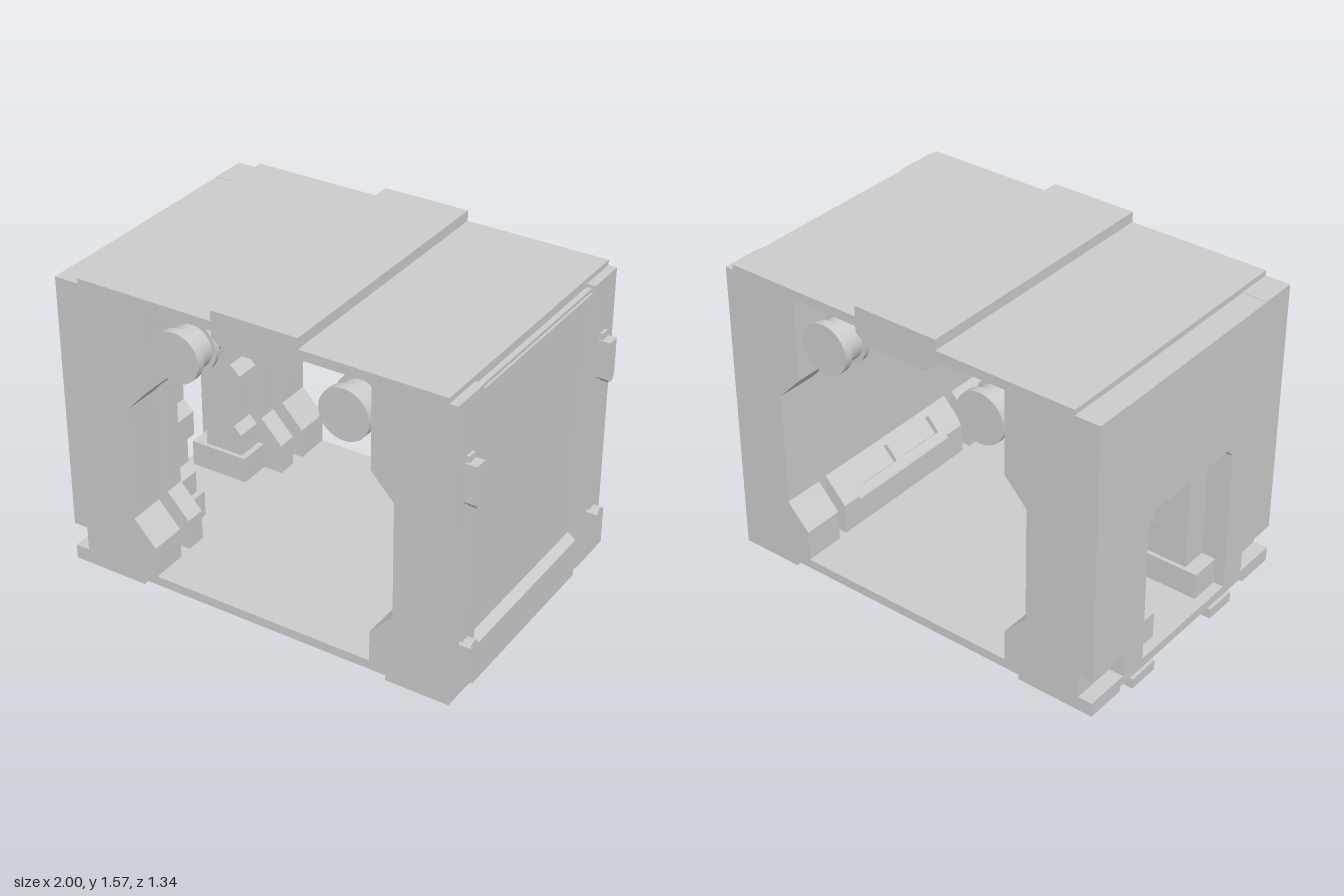
import * as THREE from 'three';

const grey = new THREE.MeshStandardMaterial({ color: 0xcccccc, flatShading: true });
const smooth = new THREE.MeshStandardMaterial({ color: 0xcccccc });

export function createModel() {
  const root = new THREE.Group();

  const add = (name, geo, parent = root, mat = grey) => {
    const m = new THREE.Mesh(geo, mat);
    m.name = name;
    parent.add(m);
    return m;
  };
  // box from its limits
  const box = (name, x0, x1, y0, y1, z0, z1, parent = root) => {
    const m = add(name, new THREE.BoxGeometry(x1 - x0, y1 - y0, z1 - z0), parent);
    m.position.set((x0 + x1) / 2, (y0 + y1) / 2, (z0 + z1) / 2);
    return m;
  };
  const shapeOf = (pts) => new THREE.Shape(pts.map(([a, b]) => new THREE.Vector2(a, b)));
  const extrude = (shape, depth) => new THREE.ExtrudeGeometry(shape, { depth, bevelEnabled: false });
  // (x, y) outline run along z
  const alongZ = (name, pts, z0, z1) => {
    const m = add(name, extrude(shapeOf(pts), z1 - z0));
    m.position.z = z0;
    return m;
  };
  // (z, y) outline run along x
  const alongX = (name, shape, x0, x1, parent = root) => {
    const m = add(name, extrude(shape, x1 - x0).rotateY(-Math.PI / 2), parent);
    m.position.x = x1;
    return m;
  };
  const rectPts = (a0, a1, b0, b1) => [[a0, b0], [a1, b0], [a1, b1], [a0, b1]];

  // floor, roof and central roof beam
  box('floor', -1, 0.93, 0.075, 0.12, -0.67, 0.67);
  box('roof', -0.88, 0.905, 1.47, 1.515, -0.67, 0.67);
  alongZ('roofBeam', [[-0.2, 1.565], [-0.2, 1.44], [-0.14, 1.4], [0.16, 1.4], [0.22, 1.44], [0.22, 1.565]], -0.67, 0.67);

  // inner outline shared by end frames and ribs, top to bottom
  const inner = (near, far) => [[near, 1.49], [near, 1.07], [far, 0.95], [far, 0.39], [near, 0.27]];
  const leftColumn = [[0.945, 1.49], ...inner(0.56, 0.67), [0.56, 0.08], [0.64, 0.075], [0.64, 0.05], [0.945, 0.05]];
  const rightColumn = [[-1, 1.49], ...inner(-0.545, -0.655), [-0.545, 0.1], [-0.93, 0.1], [-0.93, 0.24], [-1, 0.24]];
  const leftRib = [[0.75, 1.48], ...inner(0.565, 0.675), [0.565, 0.1], [0.75, 0.1]];
  const rightRib = [[-0.75, 1.48], ...inner(-0.55, -0.66), [-0.55, 0.1], [-0.75, 0.1]];
  for (const s of [-1, 1]) {
    const span = (name, pts, a, b) => alongZ(name, pts, Math.min(s * a, s * b), Math.max(s * a, s * b));
    span('leftEndFrame', leftColumn, 0.47, 0.67);
    span('rightEndFrame', rightColumn, 0.49, 0.67);
    span('leftRib', leftRib, 0.32, 0.42);
    span('rightRib', rightRib, 0.32, 0.42);
  }

  // closed left wall with raised outer panels
  box('leftWall', 0.675, 0.9, 0.05, 1.48, -0.48, 0.48);
  box('leftWallTopStrip', 0.88, 0.93, 1.46, 1.475, -0.47, 0.47);
  alongZ('leftUpperPanel', [[0.88, 1.46], [0.88, 1.08], [0.9, 1.08], [0.94, 1.12], [0.94, 1.46]], -0.46, 0.46);
  alongZ('leftLowerPanel', [[0.72, 0.075], [0.72, 0.02], [0.94, 0.02], [0.94, 0.21], [0.9, 0.24], [0.88, 0.24], [0.88, 0.075]], -0.46, 0.46);
  box('leftSill', 0.72, 0.93, 0.02, 0.06, -0.478, 0.478);

  // right wall with a doorway: outer skin, core, and a wider inner opening
  const doorWall = (w, h, c, base, d) => shapeOf([
    [-d, base], [-w, base], [-w, h - c], [-w + c, h], [w - c, h], [w, h - c],
    [w, base], [d, base], [d, 1.488], [-d, 1.488],
  ]);
  alongX('rightWallSkin', doorWall(0.31, 0.87, 0.05, 0.24, 0.5), -1, -0.93);
  alongX('rightWallCore', doorWall(0.31, 0.87, 0.05, 0.1, 0.5), -0.93, -0.75);
  alongX('rightWallLining', doorWall(0.36, 0.92, 0.08, 0.1, 0.5), -0.75, -0.68);

  // sloped panels with two recesses: low on the left wall, high on the right
  const panelShape = shapeOf(rectPts(-0.32, 0.32, -0.081, 0.081));
  for (const s of [-1, 1]) {
    const c = s * 0.15;
    const hole = rectPts(c - 0.12, c + 0.12, -0.045, 0.045);
    panelShape.holes.push(new THREE.Path(hole.map(([a, b]) => new THREE.Vector2(a, b))));
  }
  const slope = -Math.atan2(0.11, 0.12);
  const slopedPanel = (name, x, y, t0, t1) => {
    const g = new THREE.Group();
    g.name = name;
    g.position.set(x, y, 0);
    g.rotation.z = slope;
    root.add(g);
    alongX(name + 'Frame', panelShape, t0, t1, g);
    return g;
  };
  slopedPanel('leftSlopedPanel', 0.62, 0.33, 0, 0.03);
  alongZ('leftPanelBase', [[0.7, 0.38], [0.58, 0.25], [0.565, 0.25], [0.565, 0.1], [0.7, 0.1]], -0.32, 0.32);
  const upper = slopedPanel('rightSlopedPanel', -0.605, 1.01, -0.03, 0);
  alongZ('rightPanelBase', [[-0.7, 0.94], [-0.58, 1.08], [-0.56, 1.09], [-0.56, 1.48], [-0.7, 1.48]], -0.32, 0.32);

  // rods along the high panel
  for (const y of [-0.085, 0.085]) {
    const rod = add('panelRod', new THREE.CylinderGeometry(0.014, 0.014, 0.66, 12).rotateX(Math.PI / 2), upper, smooth);
    rod.position.set(0.025, y, 0);
    for (const s of [-1, 1]) {
      const sleeve = add('rodSleeve', new THREE.CylinderGeometry(0.024, 0.024, 0.12, 12).rotateX(Math.PI / 2), upper, smooth);
      sleeve.position.set(0.025, y, s * 0.26);
    }
  }

  // door posts with stepped profile, bases and outer foot blocks
  const post = [
    [-0.88, 0.2], [-0.68, 0.2], [-0.68, 0.36], [-0.72, 0.4], [-0.72, 0.52], [-0.68, 0.56],
    [-0.68, 0.68], [-0.73, 0.73], [-0.73, 0.88], [-0.88, 0.88],
  ];
  for (const s of [-1, 1]) {
    const z = s * 0.245;
    alongZ('doorPost', post, z - 0.065, z + 0.065);
    box('doorPostBase', -0.95, -0.65, 0.11, 0.25, z - 0.085, z + 0.085);
    box('wallFootBlock', -1, -0.9, 0.11, 0.24, s * 0.38 - 0.07, s * 0.38 + 0.07);
    box('foot', -1, -0.69, 0, 0.05, s * 0.295 - 0.08, s * 0.295 + 0.08);
    box('footPad', -0.93, -0.62, 0.045, 0.08, s * 0.295 - 0.1, s * 0.295 + 0.1);
    box('cornerPad', -1, -0.62, 0.05, 0.08, s * 0.57 - 0.1, s * 0.57 + 0.1);
  }

  // ceiling tubes with stepped flanged ends
  const tubeHalf = [[0.075, 0], [0.075, 0.5], [0.12, 0.5], [0.12, 0.525], [0.1, 0.525], [0.1, 0.61], [0.12, 0.61], [0.12, 0.65], [0, 0.65]];
  const profile = [...tubeHalf.map(([r, z]) => [r, -z]).reverse(), ...tubeHalf.slice(1)];
  for (const x of [-0.405, 0.42]) {
    // each straight run is its own band so the edges stay sharp
    const tube = new THREE.Group();
    tube.name = 'ceilingTube';
    tube.position.set(x, 1.27, 0);
    root.add(tube);
    for (let i = 0; i < profile.length - 1; i++) {
      const band = [profile[i], profile[i + 1]].map(([r, z]) => new THREE.Vector2(r, z));
      add('tubeBand', new THREE.LatheGeometry(band, 32).rotateX(Math.PI / 2), tube, smooth);
    }
  }

  // conduits on the outside of the left wall
  for (const z of [-0.57, 0.57]) {
    box('conduit', 0.94, 0.96, 0.11, 1.23, z - 0.023, z + 0.023);
    for (const [y0, y1] of [[0.145, 0.34], [1.0, 1.2]]) {
      const e = y0 < 0.5 ? [0, 0.015] : [0.015, 0];
      alongX('conduitSleeve', shapeOf([
        [z - 0.031 + e[0], y0], [z + 0.031 - e[0], y0], [z + 0.031, y0 + 0.02], [z + 0.031, y1 - 0.02],
        [z + 0.031 - e[1], y1], [z - 0.031 + e[1], y1], [z - 0.031, y1 - 0.02], [z - 0.031, y0 + 0.02],
      ]), 0.945, 1);
    }
  }
  return root;
}
